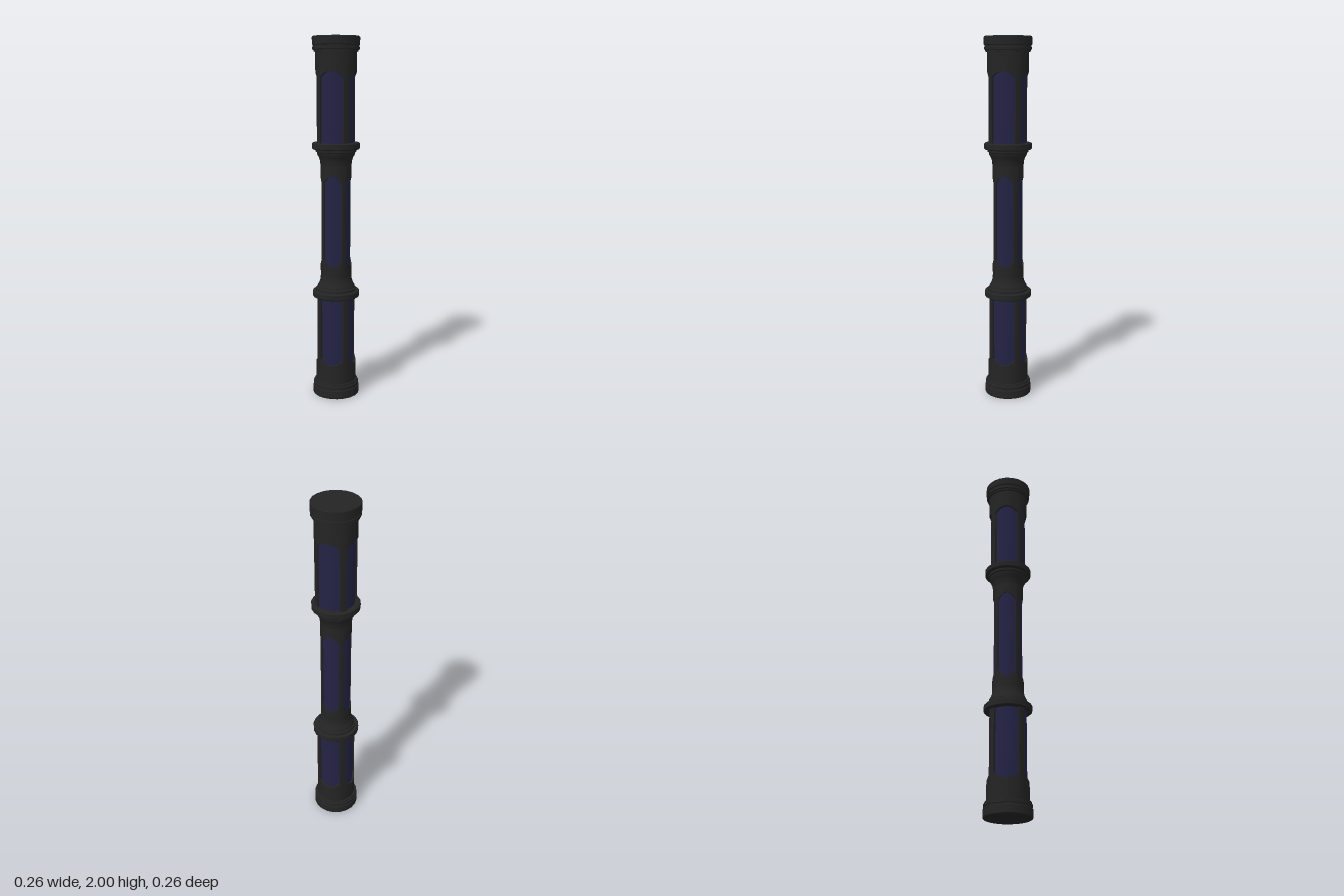
import * as THREE from 'three';
import { toCreasedNormals } from 'three/addons/utils/BufferGeometryUtils.js';

const SIDES = 20, STEP = (Math.PI * 2) / SIDES;
const CREASE = 0.5;

// Point on the column at facet corner k
const at = (k, r, y) => [r * Math.sin(k * STEP), y, r * Math.cos(k * STEP)];

function quad(out, a, b, c, d) {
  out.push(...a, ...b, ...c, ...a, ...c, ...d);
}

function meshFrom(positions, material, name) {
  const g = new THREE.BufferGeometry();
  g.setAttribute('position', new THREE.Float32BufferAttribute(positions, 3));
  const mesh = new THREE.Mesh(toCreasedNormals(g, CREASE), material);
  mesh.name = name;
  return mesh;
}

// Tube section with four arched openings, each four facets wide, one-facet ribs between
function windowedSection(name, y0, y1, R, r, bottoms, tops, frameMat, panelMat) {
  const frame = [], panel = [];
  for (let k = 0; k < SIDES; k++) {
    const i = k % 5, n = k + 1;
    if (i === 4) { // rib
      quad(frame, at(k, R, y0), at(n, R, y0), at(n, R, y1), at(k, R, y1));
      continue;
    }
    const b0 = bottoms[i], b1 = bottoms[i + 1], t0 = tops[i], t1 = tops[i + 1];
    // wall below and above the opening
    quad(frame, at(k, R, y0), at(n, R, y0), at(n, R, b1), at(k, R, b0));
    quad(frame, at(k, R, t0), at(n, R, t1), at(n, R, y1), at(k, R, y1));
    // sill and arch reveals
    quad(frame, at(k, R, b0), at(n, R, b1), at(n, r, b1), at(k, r, b0));
    quad(frame, at(k, r, t0), at(n, r, t1), at(n, R, t1), at(k, R, t0));
    // side reveals
    if (i === 0) quad(frame, at(k, R, b0), at(k, r, b0), at(k, r, t0), at(k, R, t0));
    if (i === 3) quad(frame, at(n, R, t1), at(n, r, t1), at(n, r, b1), at(n, R, b1));
    quad(panel, at(k, r, b0), at(n, r, b1), at(n, r, t1), at(k, r, t0));
  }
  const group = new THREE.Group();
  group.name = name;
  group.add(meshFrom(frame, frameMat, name + 'Frame'), meshFrom(panel, panelMat, name + 'Panels'));
  return group;
}

function turned(profile, material, name) {
  const g = new THREE.LatheGeometry(profile.map(([r, y]) => new THREE.Vector2(r, y)), SIDES);
  const mesh = new THREE.Mesh(toCreasedNormals(g, CREASE), material);
  mesh.name = name;
  return mesh;
}

const flip = profile => profile.map(([r, y]) => [r, 2 - y]).reverse();

export function createModel() {
  const metal = new THREE.MeshStandardMaterial({ color: 0x242424 });
  metal.name = 'darkMetal';
  const blue = new THREE.MeshStandardMaterial({ color: 0x232345 });
  blue.name = 'deepBlue';

  const model = new THREE.Group();
  model.name = 'column';

  // End cap with stepped rims
  const cap = [[0, 0], [0.126, 0], [0.13, 0.005], [0.13, 0.045], [0.125, 0.048],
    [0.125, 0.056], [0.128, 0.058], [0.128, 0.07], [0.122, 0.073], [0.122, 0.082], [0.108, 0.082]];
  // Flange and stepped taper into the slim middle
  const flange = [[0.09, 0.568], [0.126, 0.568], [0.131, 0.573], [0.131, 0.6], [0.126, 0.605],
    [0.112, 0.605], [0.112, 0.618], [0.105, 0.622], [0.103, 0.635], [0.095, 0.648],
    [0.089, 0.665], [0.086, 0.69]];
  model.add(turned(cap, metal, 'bottomCap'), turned(flip(cap), metal, 'topCap'));
  model.add(turned(flange, metal, 'lowerFlange'), turned(flip(flange), metal, 'upperFlange'));

  // Windowed tube sections
  const low = [0.215, 0.192, 0.185, 0.192, 0.215];
  const flat = Array(5).fill(0.568);
  const mid = [0.785, 0.757, 0.745, 0.757, 0.785];
  const mirror = ys => ys.map(y => 2 - y);
  model.add(
    windowedSection('lowerSection', 0.075, 0.57, 0.112, 0.1, low, flat, metal, blue),
    windowedSection('middleSection', 0.685, 1.315, 0.086, 0.079, mid, mirror(mid), metal, blue),
    windowedSection('upperSection', 1.43, 1.925, 0.112, 0.1, mirror(flat), mirror(low), metal, blue)
  );
  return model;
}
